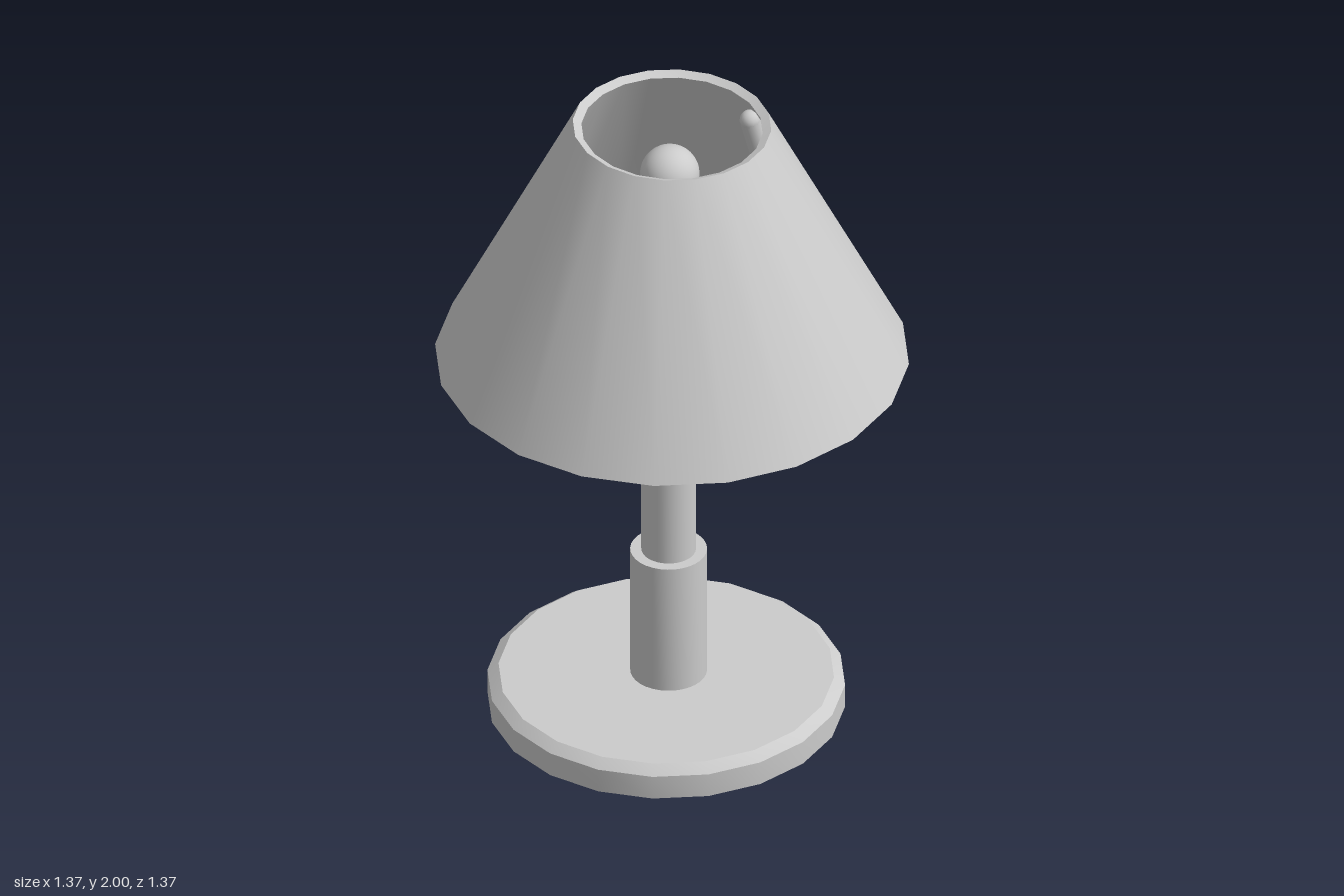
import * as THREE from 'three';
import { toCreasedNormals } from 'three/addons/utils/BufferGeometryUtils.js';

const material = new THREE.MeshStandardMaterial({ color: 0xcccccc });
const AXIS_X = -0.004, AXIS_Z = -0.012; // the stem sits slightly off centre

export function createModel() {
  const lamp = new THREE.Group();
  lamp.name = 'tableLamp';

  function add(name, geometry, x = 0, y = 0, z = 0) {
    const mesh = new THREE.Mesh(geometry, material);
    mesh.name = name;
    mesh.position.set(x, y, z);
    lamp.add(mesh);
    return mesh;
  }

  // Turned part from [radius, height] pairs, listed upwards on the outside
  function turned(profile, sides) {
    const points = profile.map(([r, y]) => new THREE.Vector2(r, y));
    return new THREE.LatheGeometry(points, sides);
  }

  // Round foot with a small bevel
  const foot = turned([[0, 0], [0.517, 0], [0.517, 0.075], [0.485, 0.1], [0, 0.1]], 20);
  add('base', toCreasedNormals(foot, 0.5), -0.012, 0, -0.012);

  // Stem: thick collar below, slim pole above
  const collar = turned([[0, 0.09], [0.111, 0.09], [0.111, 0.52], [0, 0.52]], 32);
  add('collar', toCreasedNormals(collar, 0.5), AXIS_X, 0, AXIS_Z);
  const pole = turned([[0, 0.5], [0.079, 0.5], [0.079, 1.76], [0, 1.76]], 32);
  add('pole', toCreasedNormals(pole, 0.5), AXIS_X, 0, AXIS_Z);

  // Bulb
  add('bulb', new THREE.SphereGeometry(0.086, 32, 20), 0, 1.82, AXIS_Z);

  // Shade holder: a bar through the pole whose ends turn up to the shade
  for (const side of [-1, 1]) {
    const path = new THREE.CurvePath();
    const p = (x, y) => new THREE.Vector3(side * x, y, 0);
    path.add(new THREE.LineCurve3(p(0, 1.52), p(0.33, 1.52)));
    path.add(new THREE.QuadraticBezierCurve3(p(0.33, 1.52), p(0.38, 1.52), p(0.367, 1.57)));
    path.add(new THREE.LineCurve3(p(0.367, 1.57), p(0.272, 1.91)));
    const name = side > 0 ? 'leftShadeArm' : 'rightShadeArm';
    add(name, new THREE.TubeGeometry(path, 40, 0.031, 14), 0, 0, AXIS_Z);
    add(name + 'Tip', new THREE.SphereGeometry(0.031, 14, 10), side * 0.272, 1.91, AXIS_Z);
  }

  // Conical shade with wall thickness; its top rim dips slightly to the front left
  const shade = turned([[0.685, 1.2], [0.287, 1.995], [0.262, 1.983], [0.66, 1.187], [0.685, 1.2]], 20);
  const pos = shade.attributes.position;
  for (let i = 0; i < pos.count; i++) {
    if (pos.getY(i) > 1.9) pos.setY(i, pos.getY(i) - 0.012 * (pos.getX(i) + pos.getZ(i)));
  }
  add('shade', toCreasedNormals(shade, 0.5));

  return lamp;
}
